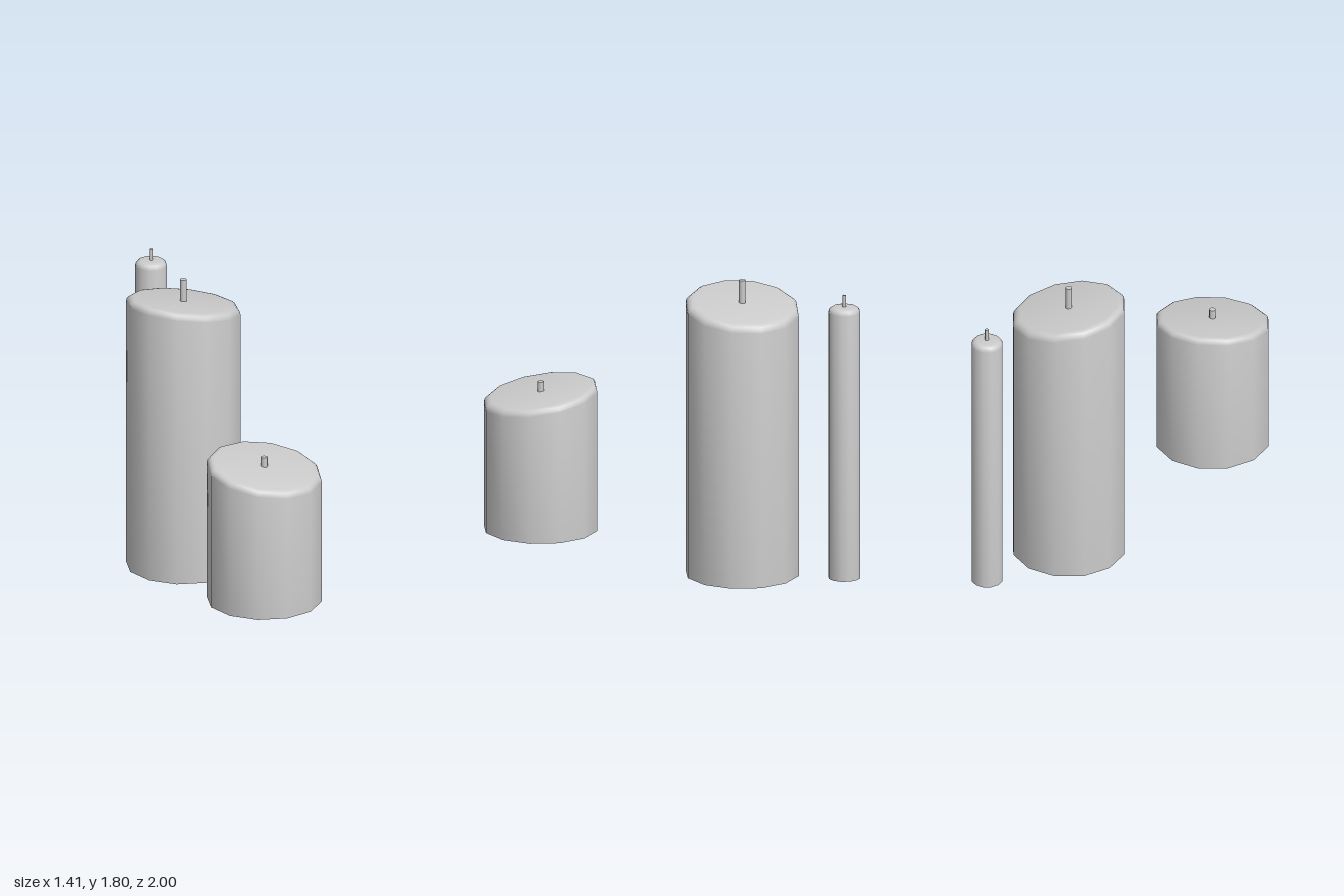
import * as THREE from 'three';
import { mergeVertices, toCreasedNormals } from 'three/addons/utils/BufferGeometryUtils.js';

const SIDES = 12;
const material = new THREE.MeshStandardMaterial({ color: 0xcccccc });

// Wax body with a rounded rim; slopeX and slopeZ tilt the top while the base stays level.
function waxGeometry(radius, bottom, top, bevel, slopeX, slopeZ) {
  const profile = [new THREE.Vector2(0, bottom), new THREE.Vector2(radius, bottom)];
  for (let i = 0; i <= 4; i++) {
    const a = (i / 4) * Math.PI / 2;
    profile.push(new THREE.Vector2(
      radius - bevel + bevel * Math.cos(a),
      top - bevel + bevel * Math.sin(a)));
  }
  profile.push(new THREE.Vector2(0, top));
  const geo = new THREE.LatheGeometry(profile, SIDES);
  const p = geo.attributes.position;
  for (let i = 0; i < p.count; i++) {
    if (p.getY(i) > bottom + 0.01) {
      p.setY(i, p.getY(i) + slopeX * p.getX(i) + slopeZ * p.getZ(i));
    }
  }
  // Weld the seam, then smooth all but the base edge
  geo.deleteAttribute('uv');
  geo.deleteAttribute('normal');
  return toCreasedNormals(mergeVertices(geo, 1e-5), Math.PI / 3.5);
}

function candle(name, { x, z, radius, bottom, top, bevel, slopeX = 0, slopeZ = 0, wickRadius, wickTop }) {
  const group = new THREE.Group();
  group.name = name;
  group.position.set(x, 0, z);

  const wax = new THREE.Mesh(waxGeometry(radius, bottom, top, bevel, slopeX, slopeZ), material);
  wax.name = 'wax';

  // Wick, sunk a little into the wax
  const wickBottom = top - 0.02;
  const wick = new THREE.Mesh(
    new THREE.CylinderGeometry(wickRadius, wickRadius, wickTop - wickBottom, 8), material);
  wick.name = 'wick';
  wick.position.y = (wickTop + wickBottom) / 2;

  group.add(wax, wick);
  return group;
}

export function createModel() {
  const model = new THREE.Group();
  model.name = 'candles';
  model.add(
    candle('shortCandle', {
      x: -0.365, z: 0.655, radius: 0.342, bottom: 0.21, top: 1.053, bevel: 0.04,
      slopeZ: -0.16, wickRadius: 0.02, wickTop: 1.11,
    }),
    candle('tallCandle', {
      x: 0.24, z: -0.395, radius: 0.34, bottom: 0, top: 1.664, bevel: 0.045,
      slopeX: -0.165, wickRadius: 0.02, wickTop: 1.8,
    }),
    candle('thinCandle', {
      x: 0.607, z: -0.905, radius: 0.095, bottom: 0.025, top: 1.69, bevel: 0.035,
      wickRadius: 0.011, wickTop: 1.76,
    }),
  );
  return model;
}
